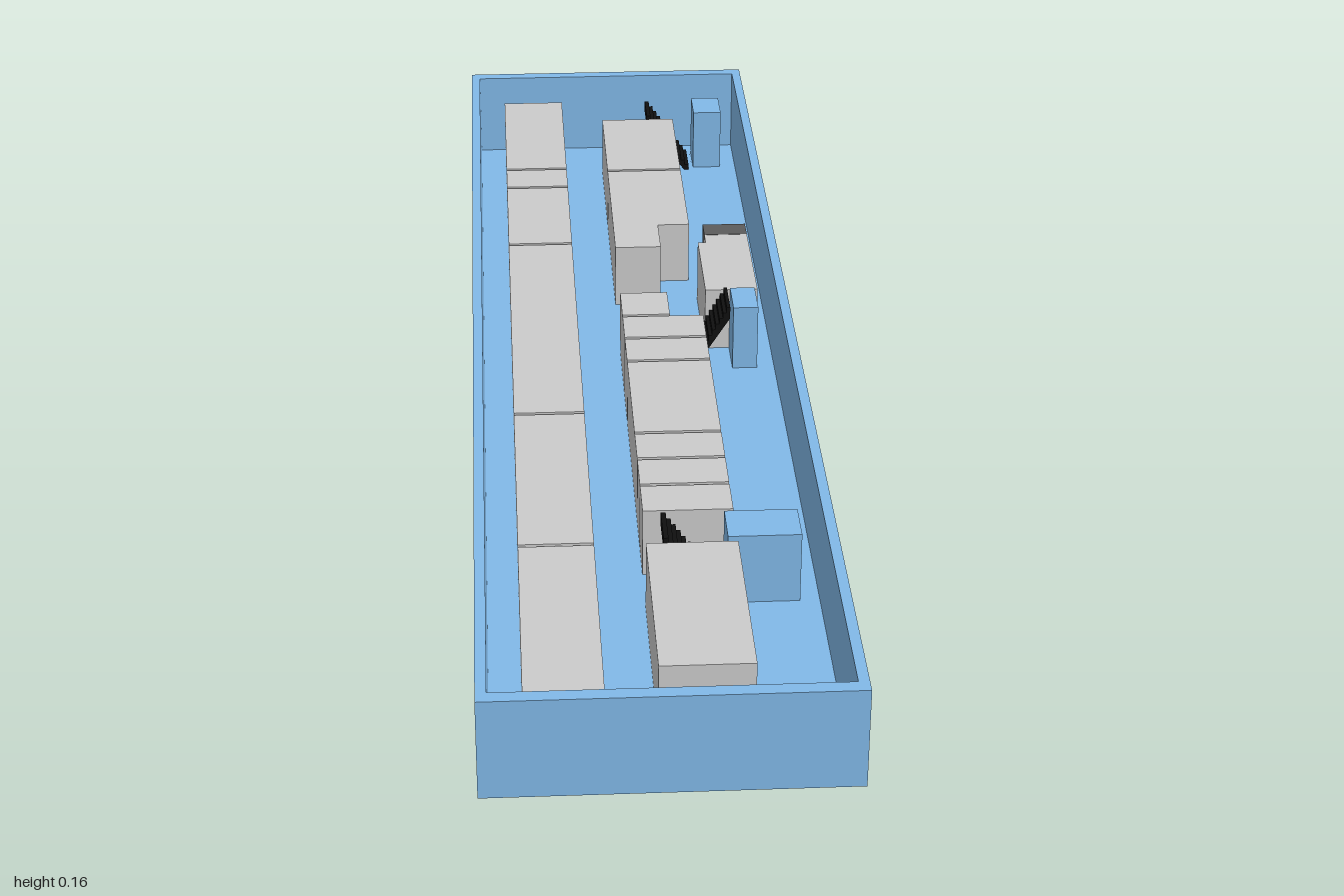
import * as THREE from 'three';

const mat = (color) => new THREE.MeshStandardMaterial({ color, flatShading: true });

export function createModel() {
  const group = new THREE.Group();
  const grey = mat(0xcccccc), blue = mat(0x81b9e8), dark = mat(0x5c5c5c), black = mat(0x101010);
  const TOP = 0.117;

  const add = (name, geometry, material) => {
    const mesh = new THREE.Mesh(geometry, material);
    mesh.name = name;
    group.add(mesh);
    return mesh;
  };

  // Box given by its limits on each axis
  const box = (name, material, x0, x1, y0, y1, z0, z1) => {
    const mesh = add(name, new THREE.BoxGeometry(x1 - x0, y1 - y0, z1 - z0), material);
    mesh.position.set((x0 + x1) / 2, (y0 + y1) / 2, (z0 + z1) / 2);
  };

  // Upright prism over an outline of [x, z] corners
  const prism = (name, material, outline, y0, y1) => {
    const shape = new THREE.Shape(outline.map(([x, z]) => new THREE.Vector2(x, -z)));
    const geometry = new THREE.ExtrudeGeometry(shape, { depth: y1 - y0, bevelEnabled: false });
    geometry.rotateX(-Math.PI / 2).translate(0, y0, 0);
    add(name, geometry, material);
  };

  // Steep flight with a sloping underside, running along x from foot to head
  const stairs = (name, footX, headX, z0, z1) => {
    const steps = 12, run = (headX - footX) / steps, rise = 0.12 / steps;
    const shape = new THREE.Shape();
    shape.moveTo(footX, 0);
    for (let i = 0; i < steps; i++) {
      shape.lineTo(footX + i * run, (i + 1) * rise);
      shape.lineTo(footX + (i + 1) * run, (i + 1) * rise);
    }
    shape.lineTo(headX, 0.12 - 2 * rise);
    shape.lineTo(footX + run, 0);
    const geometry = new THREE.ExtrudeGeometry(shape, { depth: z1 - z0, bevelEnabled: false });
    geometry.translate(0, 0, z0);
    add(name, geometry, black);
  };

  // Open tray: floor and a rim of four walls
  box('trayFloor', blue, -0.25, 0.25, 0.005, 0.01, -1, 1);
  const rim = new THREE.Shape([[-0.25, -1], [0.25, -1], [0.25, 1], [-0.25, 1]].map((p) => new THREE.Vector2(...p)));
  rim.holes.push(new THREE.Path([[-0.235, -0.98], [-0.235, 0.98], [0.235, 0.98], [0.235, -0.98]].map((p) => new THREE.Vector2(...p))));
  const walls = new THREE.ExtrudeGeometry(rim, { depth: 0.15, bevelEnabled: false });
  add('trayWalls', walls.rotateX(-Math.PI / 2).translate(0, 0.005, 0), blue);

  // Rows of blocks with narrow gaps between them
  const row = (name, x0, x1, cuts) => {
    for (let i = 0; i < cuts.length - 1; i++) {
      box(name, grey, x0, x1, 0, TOP, cuts[i] + 0.003, cuts[i + 1] - 0.003);
    }
  };
  row('longRowBlock', -0.19, -0.084, [-0.953, -0.658, -0.583, -0.36, 0.212, 0.58, 0.953]);
  row('middleRowBlock', -0.012, 0.117, [-0.868, -0.645]);
  row('middleRowBlock', -0.012, 0.117, [-0.095, -0.02, 0.055, 0.277, 0.352, 0.426, 0.5]);
  row('middleRowBlock', -0.012, 0.117, [0.579, 0.882]);
  row('smallBlock', -0.012, 0.064, [-0.177, -0.095]);

  // Blocks with a notched corner
  prism('steppedBlock', grey, [[-0.012, -0.642], [0.117, -0.642], [0.117, -0.423],
    [0.064, -0.423], [0.064, -0.34], [-0.012, -0.34]], 0, TOP);
  prism('sideBlock', grey, [[0.14, -0.38], [0.212, -0.38], [0.212, -0.178],
    [0.127, -0.178], [0.127, -0.352], [0.14, -0.352]], 0, TOP);
  box('sideBlockEnd', dark, 0.14, 0.212, 0, TOP, -0.42, -0.381);

  // Raised platforms along the left wall, each with a flight of stairs
  box('backPlatform', blue, 0.157, 0.207, 0.006, 0.12, -0.95, -0.883);
  box('middlePlatform', blue, 0.167, 0.207, 0.006, 0.12, -0.178, -0.108);
  box('frontPlatform', blue, 0.103, 0.207, 0.006, 0.12, 0.507, 0.575);
  stairs('backStairs', 0.155, 0.07, -0.94, -0.873);
  stairs('middleStairs', 0.093, 0.162, -0.18, -0.11);
  stairs('frontStairs', 0.098, 0.013, 0.507, 0.575);

  return group;
}
